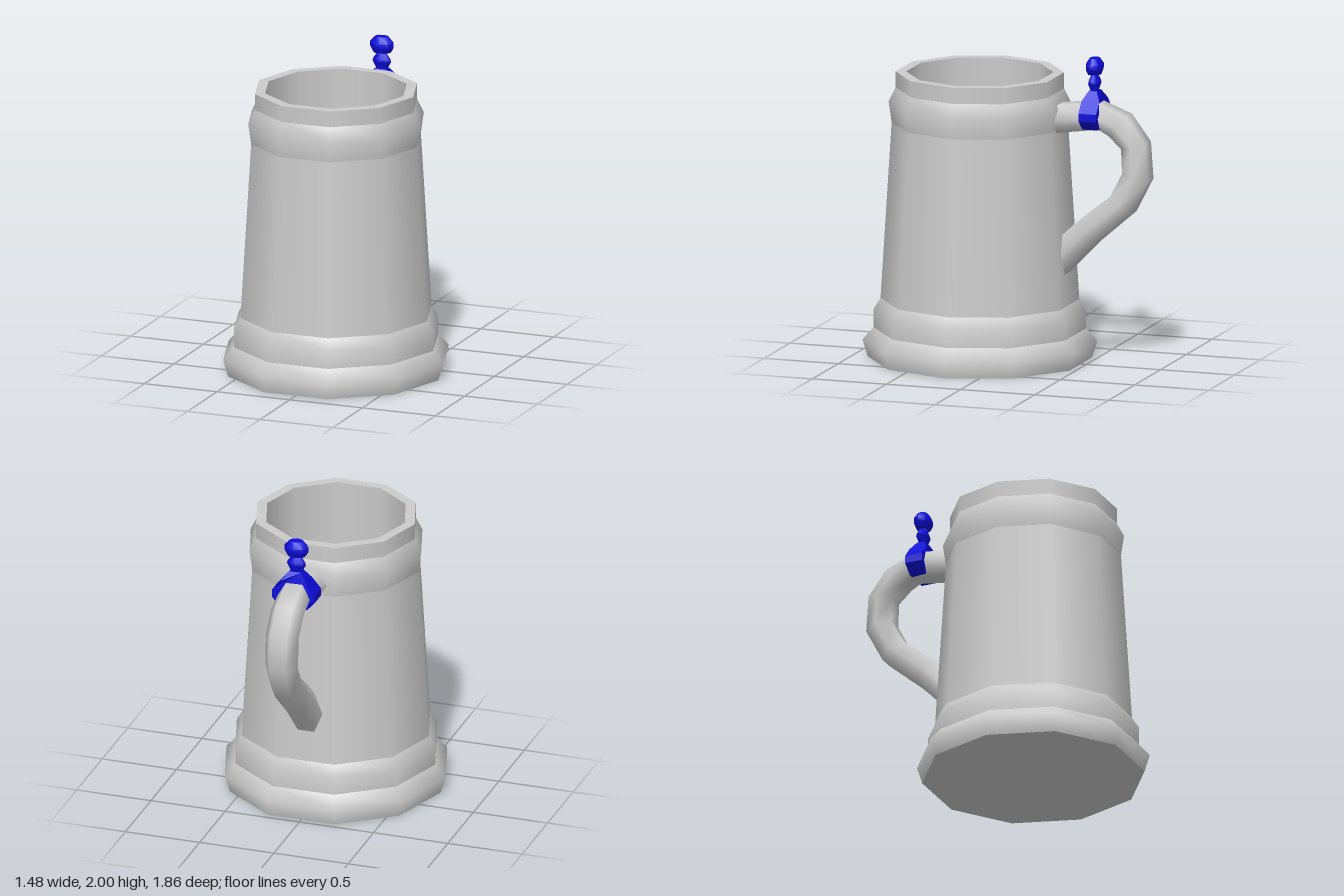
import * as THREE from 'three';
import { toCreasedNormals } from 'three/addons/utils/BufferGeometryUtils.js';

const grey = new THREE.MeshStandardMaterial({ color: 0xcccccc });
const blue = new THREE.MeshStandardMaterial({ color: 0x0a0ad8 });

function add(parent, name, geometry, material) {
  const mesh = new THREE.Mesh(geometry, material);
  mesh.name = name;
  parent.add(mesh);
  return mesh;
}

// Ten-sided ring surface from [radius, height] pairs
function ring(profile, sides = 10, start = Math.PI / 10) {
  const points = profile.map(([r, y]) => new THREE.Vector2(r, y));
  return new THREE.LatheGeometry(points, sides, start);
}

// Six-sided swept handle; each row is inner z, inner y, outer z, outer y, half width
function handleGeometry() {
  const rows = [
    [-0.27, 1.5, -0.27, 1.68, 0.13],
    [-0.6, 1.545, -0.6, 1.715, 0.11],
    [-0.665, 1.51, -0.79, 1.64, 0.11],
    [-0.753, 1.43, -0.917, 1.47, 0.11],
    [-0.76, 1.27, -0.934, 1.23, 0.11],
    [-0.68, 1.115, -0.82, 1.01, 0.11],
    [-0.46, 0.94, -0.58, 0.8, 0.11],
    [-0.3, 0.79, -0.3, 0.51, 0.11],
  ];
  const sides = 6, positions = [], index = [];
  rows.forEach(([zi, yi, zo, yo, w], i) => {
    for (let j = 0; j < sides; j++) {
      const a = (j / sides) * Math.PI * 2;
      const t = 0.5 + 0.5 * Math.sin(a) / Math.sin(Math.PI / 3);
      positions.push(w * Math.cos(a), yi + (yo - yi) * t, zi + (zo - zi) * t);
      if (i < rows.length - 1) {
        const p = i * sides + j, q = i * sides + (j + 1) % sides;
        index.push(p, p + sides, q, q, p + sides, q + sides);
      }
    }
  });
  const geometry = new THREE.BufferGeometry();
  geometry.setAttribute('position', new THREE.Float32BufferAttribute(positions, 3));
  geometry.setIndex(index);
  geometry.computeVertexNormals();
  return geometry;
}

// Saddle block over the handle, thinner towards its top and bottom
function clipGeometry() {
  const half = [[0.09, 1.547], [0.145, 1.61], [0.145, 1.66], [0.085, 1.73], [0.04, 1.79]];
  const outline = [...half, ...half.map(([x, y]) => [-x, y]).reverse()];
  const shape = new THREE.Shape(outline.map(([x, y]) => new THREE.Vector2(x, y)));
  const geometry = new THREE.ExtrudeGeometry(shape, { depth: 0.12, bevelEnabled: false });
  geometry.translate(0, 0, -0.06);
  const p = geometry.attributes.position;
  for (let i = 0; i < p.count; i++) {
    const y = p.getY(i);
    const k = y > 1.75 ? 0.45 : y < 1.56 ? 0.88 : 1;
    p.setZ(i, p.getZ(i) * k);
  }
  return toCreasedNormals(geometry, 0.3);
}

export function createModel() {
  const model = new THREE.Group();
  model.name = 'tankard';

  // Body: separate bands keep the edges between them sharp
  const body = new THREE.Group();
  body.name = 'body';
  body.position.z = 0.218;
  body.scale.z = 1.015;
  model.add(body);
  const bands = {
    underside: [[0, 0], [0.705, 0]],
    footRing: [[0.705, 0], [0.738, 0.11], [0.668, 0.19]],
    lowerBand: [[0.668, 0.19], [0.668, 0.31], [0.625, 0.38]],
    wall: [[0.625, 0.38], [0.555, 1.525]],
    upperBand: [[0.555, 1.525], [0.574, 1.66], [0.53, 1.75]],
    lip: [[0.53, 1.75], [0.53, 1.855]],
    rim: [[0.53, 1.855], [0.463, 1.855]],
    innerWall: [[0.463, 1.855], [0.463, 0.25]],
    innerFloor: [[0.463, 0.25], [0, 0.25]],
  };
  for (const [name, profile] of Object.entries(bands)) add(body, name, ring(profile), grey);

  add(model, 'handle', handleGeometry(), grey);

  // Thumb piece: clip, bead and knob, flattened front to back
  const thumb = new THREE.Group();
  thumb.name = 'thumbPiece';
  thumb.position.z = -0.557;
  model.add(thumb);
  add(thumb, 'clip', clipGeometry(), blue);
  const bead = [[0.04, 1.77], [0.036, 1.785], [0.064, 1.835], [0.058, 1.855], [0.032, 1.89]];
  const knob = [[0.032, 1.89], [0.06, 1.895], [0.081, 1.93], [0.081, 1.96], [0.045, 2], [0, 2]];
  add(thumb, 'bead', ring(bead, 8, 0), blue).scale.z = 0.65;
  add(thumb, 'knob', toCreasedNormals(ring(knob, 8, 0), 0.8), blue).scale.z = 0.71;

  return model;
}
